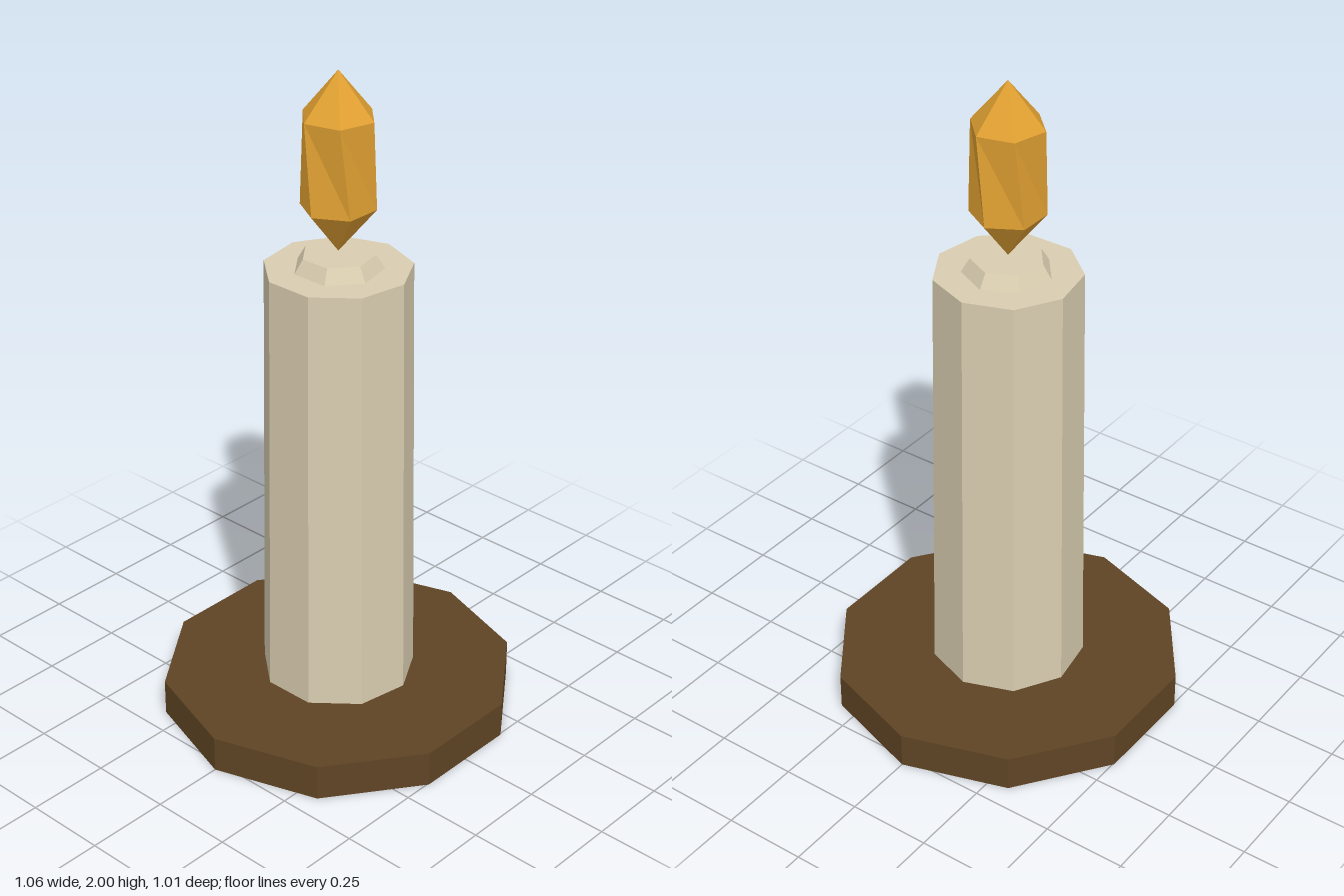
import * as THREE from 'three';

const flat = (name, color) => {
  const m = new THREE.MeshStandardMaterial({ color, flatShading: true });
  m.name = name;
  return m;
};

export function createModel() {
  const wood = flat('darkWood', 0x5f4424);
  const wax = flat('wax', 0xd9cdb0);
  const fire = flat('flame', 0xe0a032);

  const group = new THREE.Group();
  group.name = 'candle';

  const add = (name, geometry, material, y) => {
    const mesh = new THREE.Mesh(geometry, material);
    mesh.name = name;
    mesh.position.y = y;
    group.add(mesh);
  };

  // Faceted prism with one corner pointing to +x
  const prism = (name, rTop, rBottom, y0, y1, sides, material) =>
    add(name, new THREE.CylinderGeometry(rTop, rBottom, y1 - y0, sides, 1, false, Math.PI / 2),
      material, (y0 + y1) / 2);

  prism('base', 0.53, 0.53, 0, 0.11, 10, wood);
  prism('candleBody', 0.213, 0.23, 0.11, 1.425, 9, wax);
  prism('waxRim', 0.105, 0.13, 1.425, 1.466, 7, wax);

  // Flame: stretched low-poly sphere whose upper ring is twisted
  const flame = new THREE.SphereGeometry(0.125, 6, 3);
  flame.scale(1, 0.2625 / 0.125, 1);
  const p = flame.attributes.position;
  const c = Math.cos(Math.PI / 12), s = Math.sin(Math.PI / 12);
  for (let i = 0; i < p.count; i++) {
    const x = p.getX(i), z = p.getZ(i);
    if (p.getY(i) > 0) p.setXYZ(i, x * c - z * s, p.getY(i), x * s + z * c);
  }
  flame.computeVertexNormals();
  add('flame', flame, fire, 1.7375);

  return group;
}
